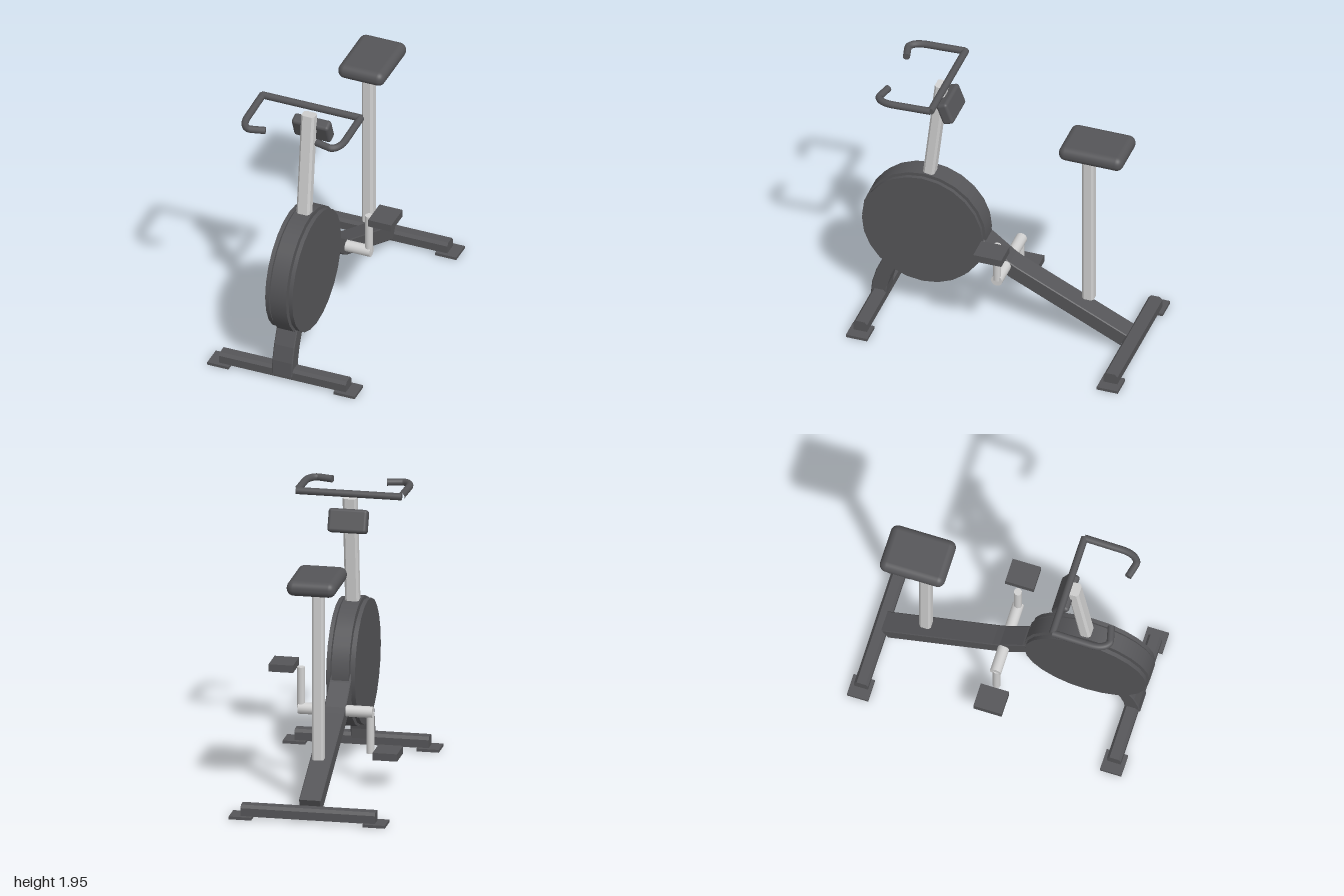
import * as THREE from 'three';
import { RoundedBoxGeometry } from 'three/addons/geometries/RoundedBoxGeometry.js';

export function createModel() {
  const model = new THREE.Group();
  const dark = new THREE.MeshStandardMaterial({ color: 0x555558 });
  dark.name = 'charcoal';
  const steel = new THREE.MeshStandardMaterial({ color: 0xd0d0d0 });
  steel.name = 'light steel';

  const add = (name, geometry, material, x = 0, y = 0, z = 0) => {
    const mesh = new THREE.Mesh(geometry, material);
    mesh.name = name;
    mesh.position.set(x, y, z);
    model.add(mesh);
    return mesh;
  };

  // Extrudes an outline of [z, y] points sideways, centred on x = 0
  const sideways = (points, width, bevel = 0) => {
    const shape = new THREE.Shape(points.map(([z, y]) => new THREE.Vector2(z, y)));
    const geometry = new THREE.ExtrudeGeometry(shape, {
      depth: width - 2 * bevel, bevelEnabled: bevel > 0, bevelSize: bevel,
      bevelThickness: bevel, bevelOffset: -bevel, bevelSegments: 1,
    });
    return geometry.translate(0, 0, -(width / 2 - bevel)).rotateY(-Math.PI / 2);
  };

  // Outline of a bar of even thickness that follows a path of [z, y] points
  const barOutline = (path, thickness) => {
    const upper = [], lower = [];
    path.forEach(([z, y], i) => {
      const a = path[Math.max(i - 1, 0)], b = path[Math.min(i + 1, path.length - 1)];
      const dz = b[0] - a[0], dy = b[1] - a[1], k = thickness / 2 / Math.hypot(dz, dy);
      upper.push([z - dy * k, y + dz * k]);
      lower.unshift([z + dy * k, y - dz * k]);
    });
    return [...lower, ...upper];
  };

  // Upright post with chamfered corners
  const postGeometry = (width, depth, height) => {
    const w = width / 2, d = depth / 2, c = 0.015;
    const shape = new THREE.Shape([
      [w, -d + c], [w, d - c], [w - c, d], [-w + c, d],
      [-w, d - c], [-w, -d + c], [-w + c, -d], [w - c, -d],
    ].map(([x, y]) => new THREE.Vector2(x, y)));
    return new THREE.ExtrudeGeometry(shape, { depth: height, bevelEnabled: false })
      .translate(0, 0, -height / 2).rotateX(-Math.PI / 2);
  };

  // Floor bars with flat feet at their ends
  for (const [name, z] of [['front', 0.875], ['rear', -0.922]]) {
    add(name + 'FloorBar', sideways([
      [-0.049, 0.018], [0.049, 0.018], [0.049, 0.075],
      [0.032, 0.096], [-0.032, 0.096], [-0.049, 0.075],
    ], 0.93), dark, 0, 0, z);
    for (const side of [-1, 1]) {
      add(name + 'Foot', new THREE.BoxGeometry(0.155, 0.02, 0.152), dark,
        side * 0.463, 0.01, z + (z > 0 ? 0 : -0.002));
    }
  }

  // Bent main frame running through the wheel housing
  const framePath = [
    [-0.88, 0.09], [-0.09, 0.47], [-0.03, 0.505], [0.13, 0.63], [0.3, 0.73], [0.45, 0.77],
    [0.6, 0.7], [0.71, 0.54], [0.79, 0.36], [0.845, 0.24], [0.873, 0.14], [0.882, 0.04],
  ];
  add('mainFrame', sideways(barOutline(framePath, 0.108), 0.15, 0.006), dark);

  // Wheel housing: wide rim, recessed core and two side covers
  const disc = (name, radius, width, x) => add(name,
    new THREE.CylinderGeometry(radius, radius, width, 24).rotateZ(Math.PI / 2), dark, x, 0.695, 0.557);
  disc('wheelRim', 0.445, 0.118, 0);
  disc('wheelCore', 0.39, 0.15, 0);
  for (const side of [-1, 1]) disc('wheelCover', 0.432, 0.028, side * 0.086);

  // Handlebar post and seat post
  const post = add('handlebarPost', postGeometry(0.096, 0.08, 0.9), steel, 0, 1.437, 0.5);
  post.rotation.x = -0.112;
  add('seatPost', postGeometry(0.08, 0.082, 1.21), steel, 0, 0.95, -0.607);
  add('seat', new RoundedBoxGeometry(0.34, 0.106, 0.46, 4, 0.05), dark, 0, 1.62, -0.665);

  // Tilted display
  const display = add('display', new RoundedBoxGeometry(0.272, 0.163, 0.084, 3, 0.022), dark, 0, 1.733, 0.385);
  display.rotation.x = 0.367;

  // Handlebar: crossbar and a curved grip on each side
  add('handlebarCrossbar', new THREE.CylinderGeometry(0.025, 0.025, 0.73, 12).rotateZ(Math.PI / 2),
    dark, 0, 1.921, 0.406);
  for (const side of [-1, 1]) {
    const p = (x, y, z) => new THREE.Vector3(side * x, y, z);
    const path = new THREE.CurvePath();
    path.add(new THREE.LineCurve3(p(0.36, 1.921, 0.406), p(0.36, 1.909, 0.67)));
    path.add(new THREE.QuadraticBezierCurve3(p(0.36, 1.909, 0.67), p(0.36, 1.905, 0.75), p(0.3, 1.905, 0.77)));
    path.add(new THREE.LineCurve3(p(0.3, 1.905, 0.77), p(0.19, 1.905, 0.772 - 0.002)));
    // The grip tip angles slightly back toward the rider
    path.curves[1].v2.z = path.curves[2].v1.z = 0.797;
    path.curves[1].v1.z = 0.775;
    path.add; 
    add('handlebarGrip', new THREE.TubeGeometry(path, 36, 0.025, 12, false), dark);
    // Round cap on the grip tip
    const cap = add('gripCap', new THREE.CylinderGeometry(0.025, 0.025, 0.004, 12), dark, side * 0.19, 1.905, 0.77);
    cap.quaternion.setFromUnitVectors(new THREE.Vector3(0, 1, 0), p(-0.11, 0, -0.027).normalize());
  }

  // Pedal axle, with cranks and pedals on opposite sides
  add('pedalAxle', new THREE.CylinderGeometry(0.04, 0.04, 0.515, 16).rotateZ(Math.PI / 2), steel, 0, 0.518, -0.032);
  for (const side of [-1, 1]) {
    add('crank', new THREE.CylinderGeometry(0.027, 0.027, 0.29, 14), steel, side * 0.24, 0.519 + side * 0.146, -0.03);
    add('pedal', new THREE.BoxGeometry(0.17, 0.052, 0.202), dark, side * 0.36, 0.527 + side * 0.292, -0.03);
  }
  return model;
}
